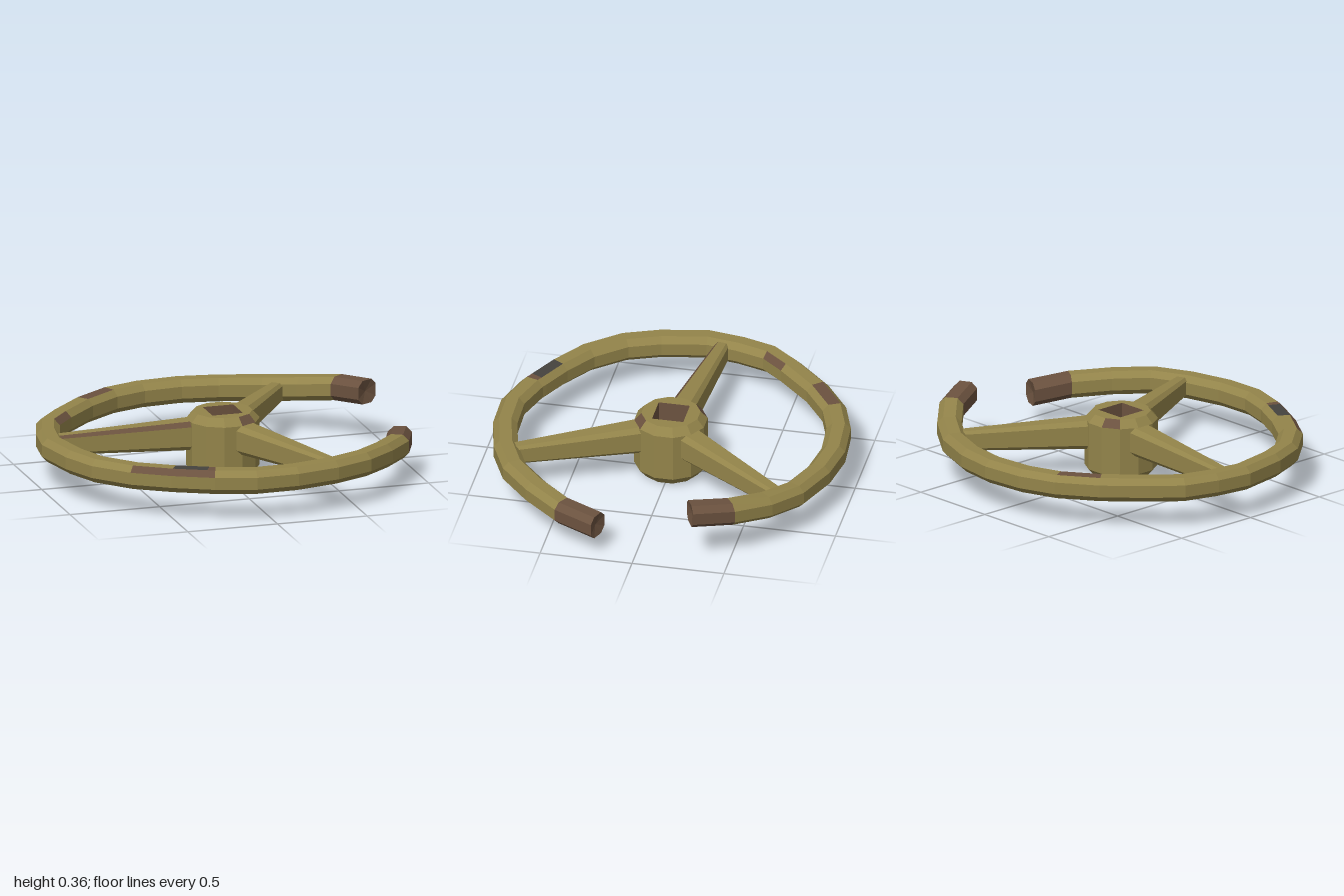
import * as THREE from 'three';

const paint = (name, color) => Object.assign(new THREE.MeshStandardMaterial({ color }), { name });

export function createModel() {
  const wheel = new THREE.Group();
  wheel.name = 'brokenHandwheel';
  const olive = paint('oliveMetal', 0x93844a);
  const rust = paint('rustBrown', 0x6b523f);
  const soot = paint('darkGrey', 0x45423e);
  const mats = [olive, rust, soot];
  const OLIVE = 0, RUST = 1, SOOT = 2;

  // Skin a row of closed rings with flat faces; pick(segment, side) gives the colour
  function loft(name, rings, pick = () => OLIVE) {
    const lists = [[], [], []];
    for (let i = 0; i < rings.length - 1; i++) {
      const n = rings[i].length;
      for (let j = 0; j < n; j++) {
        const k = (j + 1) % n;
        const a = rings[i][j], b = rings[i][k], c = rings[i + 1][k], d = rings[i + 1][j];
        const out = lists[pick(i, j)];
        if (!a.equals(b)) out.push(a, b, c);
        if (!c.equals(d)) out.push(a, c, d);
      }
    }
    const geo = new THREE.BufferGeometry().setFromPoints(lists.flat());
    let start = 0;
    lists.forEach((list, m) => {
      if (list.length) geo.addGroup(start, list.length, m);
      start += list.length;
    });
    geo.computeVertexNormals();
    const mesh = new THREE.Mesh(geo, mats);
    mesh.name = name;
    return mesh;
  }

  // Chamfered box section across a horizontal direction.
  // Sides: 0 right, 1 right top chamfer, 2 top, 3 left top chamfer, 4 left, 5..7 underside
  function section(centre, dir, w, h, c) {
    const right = new THREE.Vector3(dir.z, 0, -dir.x).normalize();
    return [[w, c - h], [w, h - c], [w - c, h], [c - w, h], [-w, h - c], [-w, c - h], [c - w, -h], [w - c, -h]]
      .map(([u, v]) => centre.clone().addScaledVector(right, u).setY(centre.y + v));
  }
  const point = (p) => Array(8).fill(p);

  // Rim: outer edge as x, z, running from the raised end to the drooping end
  const outline = [
    [0.965, -0.325], [0.86, -0.53], [0.695, -0.7], [0.51, -0.83], [0.27, -0.92], [0.045, -0.955],
    [-0.195, -0.935], [-0.4, -0.865], [-0.6, -0.725], [-0.79, -0.535], [-0.91, -0.39], [-0.97, -0.2],
    [-1, 0], [-0.95, 0.265], [-0.87, 0.465], [-0.71, 0.65], [-0.52, 0.775], [-0.352, 0.859],
    [-0.31, 0.88], [-0.095, 0.945], [0.14, 0.94], [0.38, 0.885], [0.59, 0.79], [0.76, 0.63],
    [0.91, 0.44], [0.995, 0.225],
  ].map(([x, z]) => new THREE.Vector3(x, 0.215, z));
  const last = outline.length - 1;
  [0.078, 0.057, 0.025, 0.005].forEach((dy, i) => { outline[i].y += dy; });
  [-0.042, -0.024, -0.01].forEach((dy, i) => { outline[last - i].y += dy; });

  const half = 0.065;
  const centres = [], dirs = [];
  outline.forEach((p, i) => {
    const d = outline[Math.min(i + 1, last)].clone().sub(outline[Math.max(i - 1, 0)]).setY(0).normalize();
    dirs.push(d);
    centres.push(p.clone().add(new THREE.Vector3(d.z, 0, -d.x).multiplyScalar(half)));
  });
  const rimRings = centres.map((c, i) => section(c, dirs[i], half, half, 0.032));
  // Broken ends are slightly hollow
  rimRings.unshift(point(centres[0].clone().addScaledVector(dirs[0], 0.015)));
  rimRings.push(point(centres[last].clone().addScaledVector(dirs[last], -0.015)));

  wheel.add(loft('rim', rimRings, (ring, side) => {
    const seg = ring - 1;
    if (seg <= 0 || seg >= last - 1) return RUST;
    if (seg === 16 && side === 2) return SOOT;
    const worn = (seg === 7 && side === 2) || (seg === 9 && side === 1) ||
      (seg >= 15 && seg <= 17 && side === 3) || (seg === 17 && side === 2);
    return worn ? RUST : OLIVE;
  }));

  // Spokes taper from the hub to the rim
  [
    ['leftSpoke', -0.15, -0.02, -0.91, -0.092, true],
    ['backSpoke', 0.12, -0.13, 0.55, -0.72, false],
    ['frontSpoke', 0.085, 0.15, 0.38, 0.79, false],
  ].forEach(([name, x0, z0, x1, z1, worn]) => {
    const a = new THREE.Vector3(x0, 0.232, z0), b = new THREE.Vector3(x1, 0.215, z1);
    const d = b.clone().sub(a);
    wheel.add(loft(name, [section(a, d, 0.07, 0.08, 0.026), section(b, d, 0.036, 0.052, 0.014)],
      (i, side) => (worn && side === 1 ? RUST : OLIVE)));
  });

  // Hub: twelve-sided, chamfered, with a square through hole
  const hub = new THREE.Group();
  hub.name = 'hub';
  hub.position.x = 0.01;
  const polygon = (n, r, y, turn = 1) => Array.from({ length: n }, (_, j) => {
    const a = turn * (j - 0.5) * 2 * Math.PI / n;
    return new THREE.Vector3(r * Math.sin(a), y, r * Math.cos(a));
  });
  const hubRings = [[0.152, 0], [0.196, 0.05], [0.196, 0.31], [0.158, 0.352]].map(([r, y]) => polygon(12, r, y));
  hub.add(loft('hubBody', hubRings, (i, j) => (i === 2 && (j === 1 || j === 7) ? RUST : OLIVE)));

  const holeTop = 0.12, holeBottom = 0.106;
  hub.add(loft('squareHole', [polygon(4, holeBottom, 0, -1), polygon(4, holeTop, 0.352, -1)], () => RUST));

  const flat = (pts) => pts.map((p) => new THREE.Vector2(p.x, p.z));
  [['hubTop', 0.158, holeTop, 0.352, -1], ['hubBottom', 0.152, holeBottom, 0, 1]].forEach(([name, r, hole, y, s]) => {
    const shape = new THREE.Shape(flat(polygon(12, r, 0)));
    shape.holes.push(new THREE.Path(flat(polygon(4, hole, 0))));
    const cap = new THREE.Mesh(new THREE.ShapeGeometry(shape).rotateX(s * Math.PI / 2), olive);
    cap.name = name;
    cap.position.y = y;
    hub.add(cap);
  });
  wheel.add(hub);
  return wheel;
}
